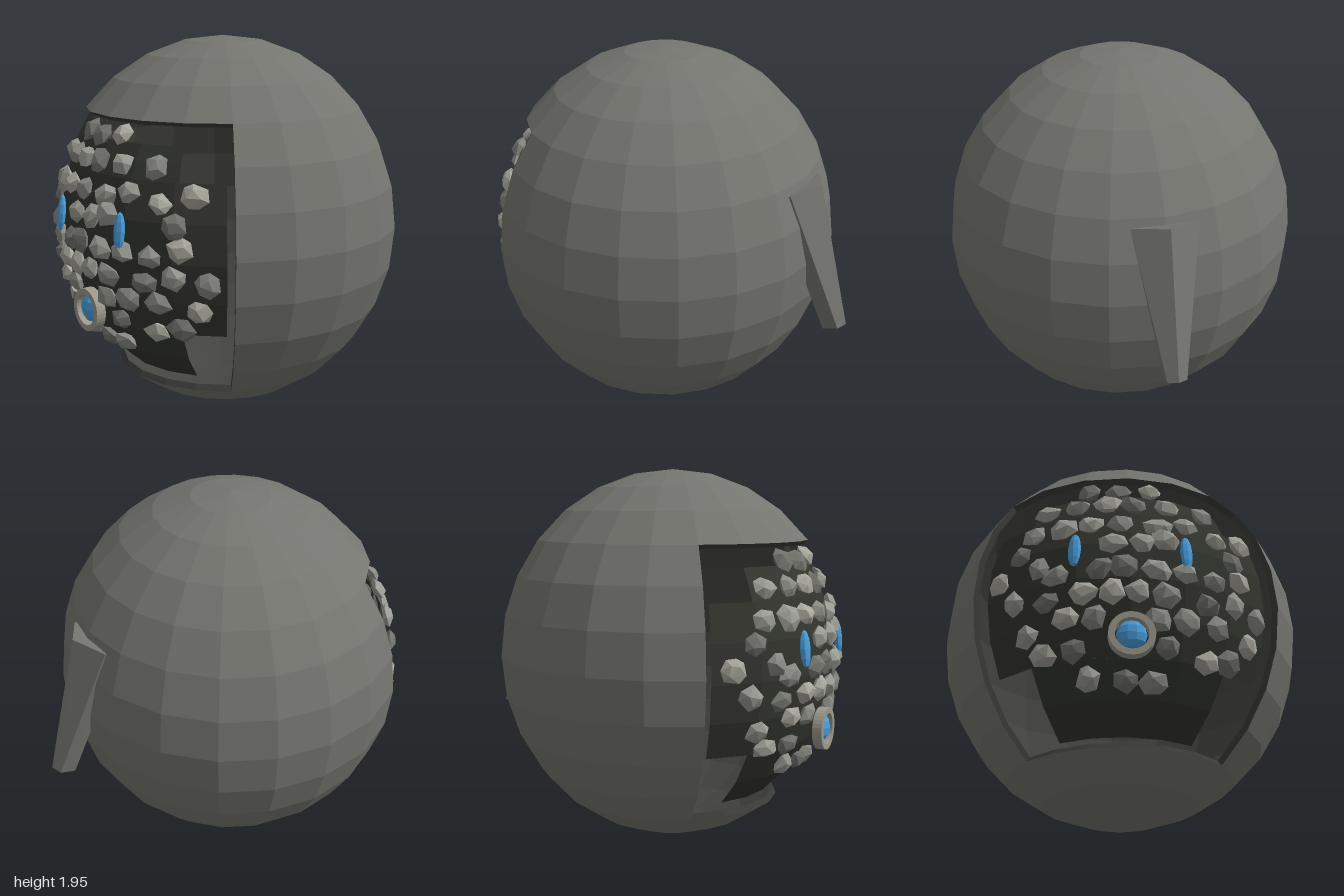
import * as THREE from 'three';
import { mergeGeometries } from 'three/addons/utils/BufferGeometryUtils.js';
import { ConvexGeometry } from 'three/addons/geometries/ConvexGeometry.js';

const CENTRE = new THREE.Vector3(0, 0.975, 0.09);
const STEP = Math.PI / 14; // height of one ring of facets
const rad = THREE.MathUtils.degToRad;

const mat = (color, side = THREE.FrontSide) =>
  new THREE.MeshStandardMaterial({ color, side, flatShading: true });

let seed = 7;
const rnd = () => {
  seed = (seed * 16807) % 2147483647;
  return seed / 2147483647;
};

function add(group, name, geometry, material) {
  const mesh = new THREE.Mesh(geometry, material);
  mesh.name = name;
  group.add(mesh);
  return mesh;
}

// piece of the unit sphere; angles in radians, front is phi = 90 degrees
const piece = (nu, nv, phi, dPhi, theta, dTheta) =>
  new THREE.SphereGeometry(1, nu, nv, phi, dPhi, theta, dTheta);

// faceted ball with a window in the front
const openBall = (rx, ry, rz) => mergeGeometries([
  piece(20, 4, 0, Math.PI * 2, 0, 4 * STEP),
  piece(14, 7, rad(144), rad(252), 4 * STEP, 7 * STEP),
  piece(20, 3, 0, Math.PI * 2, 11 * STEP, 3 * STEP),
]).scale(rx, ry, rz).translate(...CENTRE);

// strip joining outer and inner shell round the window
function windowRim(outer, inner) {
  const loop = [];
  for (let i = 0; i < 6; i++) loop.push([36 + i * 18, 4]);
  for (let j = 4; j < 11; j++) loop.push([144, j]);
  for (let i = 0; i < 6; i++) loop.push([144 - i * 18, 11]);
  for (let j = 11; j >= 4; j--) loop.push([36, j]);
  const pos = [], idx = [];
  loop.forEach(([phi, j], i) => {
    const p = new THREE.Vector3(
      -Math.cos(rad(phi)) * Math.sin(j * STEP), Math.cos(j * STEP),
      Math.sin(rad(phi)) * Math.sin(j * STEP));
    for (const r of [outer, inner])
      pos.push(p.x * r[0] + CENTRE.x, p.y * r[1] + CENTRE.y, p.z * r[2] + CENTRE.z);
    if (i) idx.push(2 * i - 2, 2 * i - 1, 2 * i, 2 * i, 2 * i - 1, 2 * i + 1);
  });
  const g = new THREE.BufferGeometry();
  g.setAttribute('position', new THREE.Float32BufferAttribute(pos, 3));
  g.setIndex(idx);
  g.computeVertexNormals();
  return g;
}

// flat, irregular pebble with its face towards +z
function pebble(rx, ry) {
  const pts = [], n = 6 + Math.floor(rnd() * 2), turn = rnd() * 6;
  for (let i = 0; i < n; i++) {
    const a = turn + ((i + rnd() * 0.5) / n) * Math.PI * 2, k = 0.9 + rnd() * 0.2;
    const x = Math.cos(a) * rx * k, y = Math.sin(a) * ry * k;
    pts.push(new THREE.Vector3(x, y, (rnd() - 0.5) * 0.02));
    if (i % 2) pts.push(new THREE.Vector3(x * 0.5, y * 0.5, 0.025 + rnd() * 0.012));
    pts.push(new THREE.Vector3(x * 0.5, y * 0.5, -0.03));
  }
  return new ConvexGeometry(pts);
}

// point on the face at a given x and y, with its outward direction
function onFace(x, y, r = 0.87) {
  const ry = r + 0.05, dy = y - CENTRE.y;
  const z = Math.sqrt(Math.max(0.05, 1 - (x / r) ** 2 - (dy / ry) ** 2)) * r;
  return {
    point: new THREE.Vector3(x, y, z + CENTRE.z),
    normal: new THREE.Vector3(x, dy * (r / ry) ** 2, z).normalize(),
  };
}

function place(mesh, x, y, r) {
  const { point, normal } = onFace(x, y, r);
  mesh.position.copy(point);
  mesh.lookAt(point.clone().add(normal));
}

// pebble centres on the face, [x, y] row by row
const PEBBLES = [
  [-.19, 1.5], [-.05, 1.49], [.1, 1.51],
  [-.39, 1.38], [-.25, 1.38], [-.11, 1.38], [.02, 1.38], [.18, 1.38], [.36, 1.38],
  [-.46, 1.23], [-.32, 1.23], [-.19, 1.24], [-.05, 1.24], [.13, 1.23], [.27, 1.26], [.42, 1.22], [.55, 1.26],
  [-.52, 1.12], [-.09, 1.12], [.05, 1.12], [.16, 1.15], [.5, 1.12],
  [-.62, 1.01], [-.43, 1.02], [-.35, .96], [-.15, .98], [-.04, .99], [.12, .98], [.26, .98], [.4, .97], [.53, 1.02],
  [-.54, .87], [-.39, .84], [-.22, .86], [-.09, .86], [.03, .86], [.16, .85], [.36, .84], [.5, .88], [.62, .85],
  [-.48, .7], [-.3, .75], [-.17, .74], [.12, .73], [.26, .74], [.41, .74], [.57, .71],
  [-.4, .6], [-.26, .6], [.17, .62], [.36, .58], [.47, .61],
  [-.19, .48], [-.02, .47], [.11, .47],
];

export function createModel() {
  const model = new THREE.Group();
  const stone = mat(0x757670);
  const dark = mat(0x33352e, THREE.DoubleSide);
  const blue = mat(0x4a9fe0);

  // shell
  const outer = [0.925, 0.975, 0.91], inner = outer.map(r => r * 0.965);
  add(model, 'outerShell', openBall(...outer), stone);
  add(model, 'innerShell', openBall(...inner), mat(0x454642, THREE.BackSide));
  add(model, 'windowRim', windowRim(outer, inner), mat(0x3a3b37, THREE.DoubleSide));

  // stepped dark plate behind the pebbles
  const plate = mergeGeometries([
    piece(4, 2, rad(54), rad(72), rad(56), rad(11.5)),
    piece(6, 4, rad(38), rad(104), rad(67.5), rad(49.5)),
    piece(4, 2, rad(54), rad(72), rad(117), rad(25)),
  ]).scale(0.86, 0.89, 0.86).translate(...CENTRE);
  add(model, 'facePlate', plate, dark);

  // pebbles
  const shades = [0x8a8b83, 0x9a9b92, 0x73746d, 0xa8a79c].map(c => mat(c));
  const pebbles = new THREE.Group();
  pebbles.name = 'pebbles';
  model.add(pebbles);
  for (const [x, y] of PEBBLES) {
    const g = pebble(0.062 + rnd() * 0.014, 0.055 + rnd() * 0.015);
    place(add(pebbles, 'pebble', g, shades[Math.floor(rnd() * 4)]), x, y);
  }

  // eyes
  for (const [name, x] of [['leftEye', 0.26], ['rightEye', -0.265]]) {
    const g = new THREE.SphereGeometry(1, 8, 6).scale(0.032, 0.093, 0.022);
    place(add(model, name, g, blue), x, 1.08, 0.885);
  }

  // round gem in its ring
  const gem = new THREE.SphereGeometry(1, 10, 6).scale(0.072, 0.072, 0.04);
  add(model, 'gem', gem, blue).position.set(0, 0.645, 0.935);
  const disc = new THREE.Shape().absarc(0, 0, 0.108, 0, Math.PI * 2);
  disc.holes.push(new THREE.Path().absarc(0, 0, 0.078, 0, Math.PI * 2, true));
  const ring = new THREE.ExtrudeGeometry(disc, { depth: 0.05, bevelEnabled: false, curveSegments: 16 });
  add(model, 'gemRing', ring, mat(0x9c998c)).position.set(0, 0.64, 0.92);

  // tapered wedge on the back
  const wedge = [[0, 1.38, -0.82], [0, 0.64, -1]];
  for (const s of [-1, 1])
    wedge.push([s * 0.17, 1.36, -0.73], [s * 0.12, 1.3, -0.62],
      [s * 0.05, 0.63, -0.975], [s * 0.04, 0.6, -0.89]);
  add(model, 'backWedge', new ConvexGeometry(wedge.map(p => new THREE.Vector3(...p))), stone);

  return model;
}
